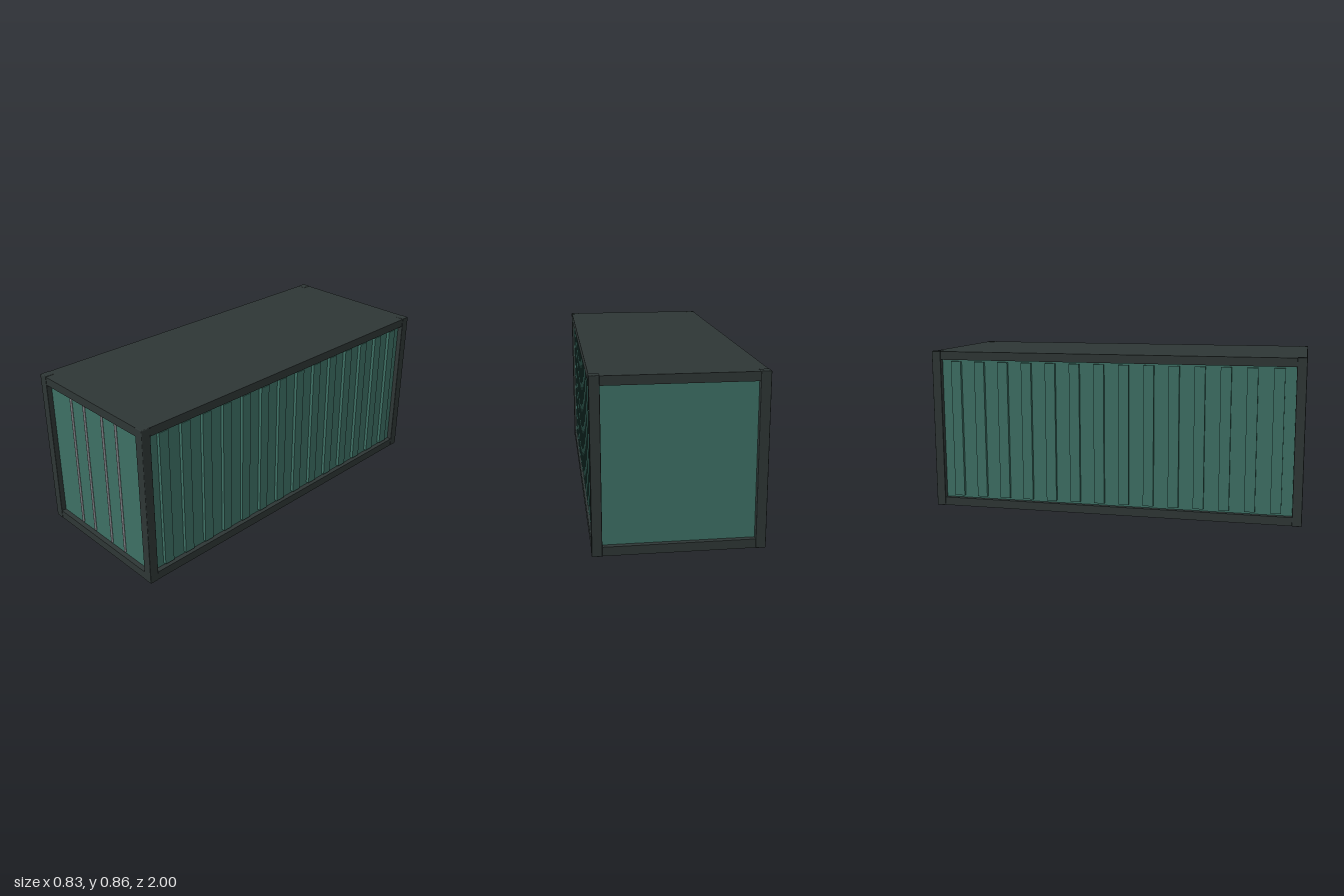
import * as THREE from 'three';
import { RoundedBoxGeometry } from 'three/addons/geometries/RoundedBoxGeometry.js';

const W = 0.83, H = 0.863, L = 2; // overall size
const POST = 0.05, RAIL = 0.045, RECESS = 0.028;

export function createModel() {
  const model = new THREE.Group();
  model.name = 'shippingContainer';

  const material = (name, color) => {
    const m = new THREE.MeshStandardMaterial({ color });
    m.name = name;
    return m;
  };
  const frame = material('darkFrame', 0x2e3635);
  const paint = material('greenPaint', 0x3d6f64);
  const steel = material('greySteel', 0x85878c);

  const add = (name, geometry, mat, x, y, z) => {
    const mesh = new THREE.Mesh(geometry, mat);
    mesh.name = name;
    mesh.position.set(x, y, z);
    model.add(mesh);
  };
  const box = (w, h, d) => new THREE.BoxGeometry(w, h, d);

  // Roof and floor slabs
  add('roof', box(W - 0.008, 0.03, L - 0.008), frame, 0, H - 0.017, 0);
  add('floor', box(W - 0.008, 0.03, L - 0.008), frame, 0, 0.017, 0);

  // Corner posts with softly rounded edges
  for (const sx of [-1, 1]) {
    for (const sz of [-1, 1]) {
      add('cornerPost', new RoundedBoxGeometry(POST, H, POST, 2, 0.004), frame,
        sx * (W - POST) / 2, H / 2, sz * (L - POST) / 2);
    }
  }

  // Top and bottom rails along the sides and across the ends
  for (const y of [0.002 + RAIL / 2, H - 0.002 - RAIL / 2]) {
    for (const s of [-1, 1]) {
      add('sideRail', box(POST, RAIL, L - 2 * POST), frame, s * ((W - POST) / 2 - 0.002), y, 0);
      add('endRail', box(W - 2 * POST, RAIL, POST), frame, 0, y, s * ((L - POST) / 2 - 0.002));
    }
  }

  // Recessed side walls with raised vertical ribs
  const wallX = W / 2 - RECESS;
  const ribDepth = 0.018;
  for (const s of [-1, 1]) {
    add('sideWall', box(0.02, H - 0.06, L - 0.08), paint, s * (wallX - 0.01), H / 2, 0);
    for (let i = 0; i < 14; i++) {
      add('wallRib', box(ribDepth, 0.747, 0.055), paint,
        s * (wallX + ribDepth / 2), 0.4335, (i - 6.5) * 0.1333);
    }
  }

  // Recessed front door panel and rear wall
  const endZ = L / 2 - RECESS;
  add('frontDoors', box(W - 0.08, H - 0.06, 0.02), paint, 0, H / 2, endZ - 0.01);
  add('rearWall', box(W - 0.08, H - 0.06, 0.02), paint, 0, H / 2, -endZ + 0.01);

  // Door locking rods
  for (const x of [-0.184, -0.073, 0.073, 0.183]) {
    add('lockingRod', new THREE.CylinderGeometry(0.006, 0.006, 0.747, 12), steel,
      x, 0.4335, endZ + 0.006);
  }
  return model;
}
